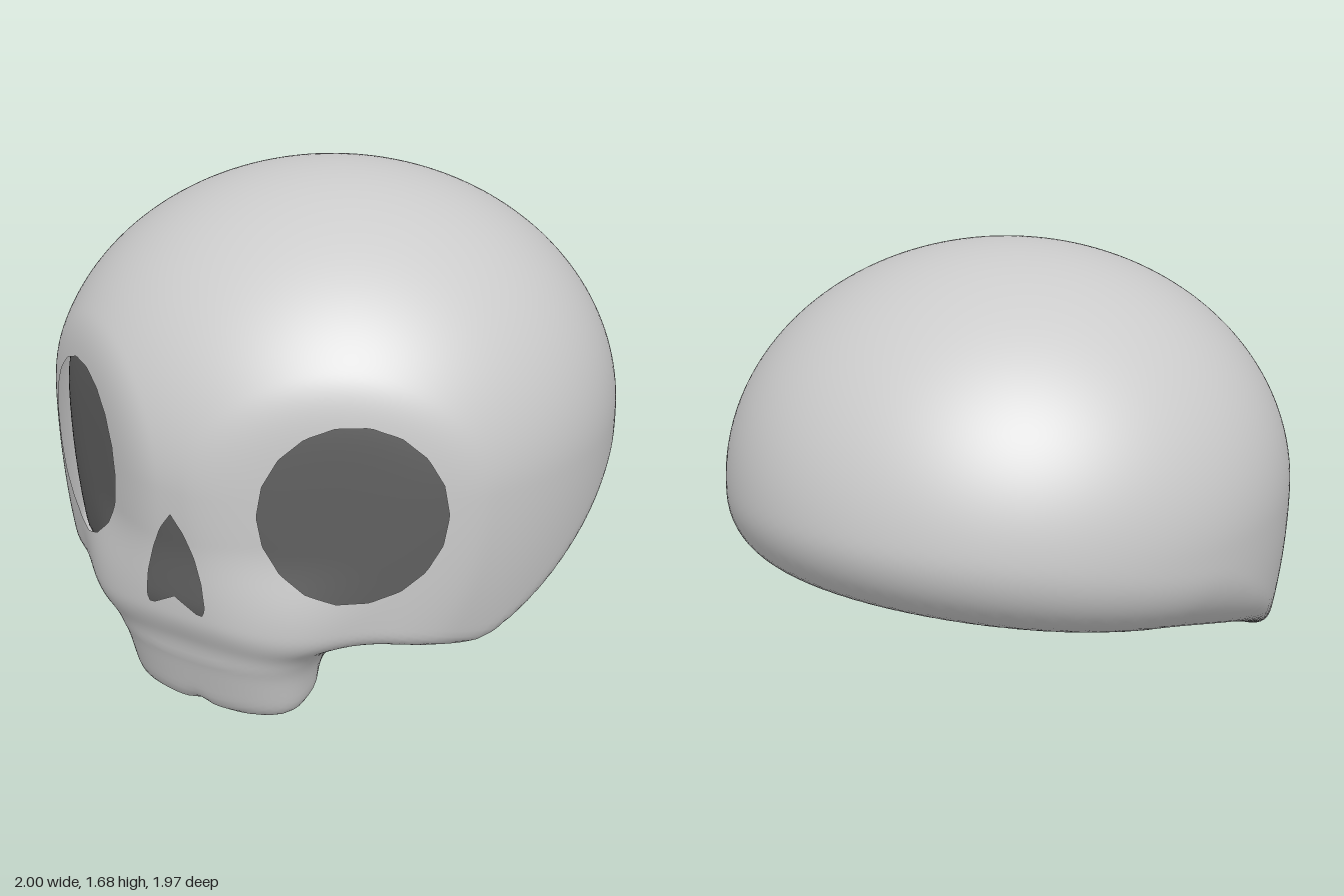
import * as THREE from 'three';
import { mergeVertices } from 'three/addons/utils/BufferGeometryUtils.js';

const V = (x, y, z) => new THREE.Vector3(x, y, z);
const boneMaterial = new THREE.MeshStandardMaterial({ color: 0xcccccc, side: THREE.DoubleSide });
const hollowMaterial = new THREE.MeshStandardMaterial({ color: 0x606060 });

// Rounded union and intersection of two solids
function smin(a, b, k) {
  const h = Math.max(k - Math.abs(a - b), 0) / k;
  return Math.min(a, b) - h * h * k / 4;
}
const smax = (a, b, k) => -smin(-a, -b, k);

// Bone solid: negative inside, positive outside
function bone(p) {
  const x = Math.abs(p.x), { y, z } = p;

  // domed cranium, straighter below the temples
  const high = y > 0.85 ? 0.83 : 1.55;
  let skull = (Math.hypot(x, (y - 0.85) / high, z / 0.985) - 1) * 0.85;
  // flattened planes that carry the eyes
  skull = smax(skull, 0.53 * x + 0.85 * z - 0.922, 0.06);
  // underside: bowl at the back, dipping to the cheeks, rising to the face
  const back = 1 - THREE.MathUtils.smoothstep(z, -0.35, 0.4);
  const bowl = 0.4 - 0.15 * z + (0.17 * z * z + 0.11 * x * x) * back - 0.45 * Math.max(0, z) ** 2;
  const under = smax(bowl, 0.262 + 0.2 * (z - 0.38), 0.03);
  skull = smax(skull, (under - y) * 0.95, 0.05 + 0.15 * back);

  // upper jaw: tapered block with a small notch in the middle of its lower edge
  const front = Math.min(0.86 + 0.27 * y, 0.92), rear = 0.52;
  const halfX = 0.335 + 0.15 * Math.max(0, y - 0.05), halfZ = (front - rear) / 2;
  const plan = Math.pow(x / halfX, 2.5) + Math.pow(Math.abs(z - rear - halfZ) / halfZ, 2.5);
  let jaw = (Math.pow(plan, 1 / 2.5) - 1) * 0.28;
  const floor = 1.3 * Math.max(0, 0.82 - z) ** 2 + 0.02 * Math.exp(-((x / 0.04) ** 2));
  jaw = smax(jaw, floor - y, 0.07);
  jaw = smax(jaw, y - 0.5, 0.2);
  return smin(skull, jaw, 0.19);
}

// Walk outward from a point inside until the surface (or a level below it) is met
function surfacePoint(from, dir, inset = 0) {
  const p = V();
  const at = (t) => bone(p.copy(from).addScaledVector(dir, t)) + inset;
  let hi = 0;
  while (at(hi) < 0 && hi < 3) hi += 0.02;
  let lo = Math.max(0, hi - 0.02);
  for (let i = 0; i < 14; i++) {
    const mid = (lo + hi) / 2;
    if (at(mid) < 0) lo = mid; else hi = mid;
  }
  at(hi);
  return p;
}

// An opening: outline around a centre, in a plane facing the normal
function opening(centre, normal, outline) {
  const n = normal.normalize();
  return { centre, n, t: V(n.z, 0, -n.x), outline };
}

// 1 on the outline, below 1 inside it
function gauge(o, u, v) {
  const pts = o.outline;
  for (let i = 0; i < pts.length; i++) {
    const [ax, ay] = pts[i], [bx, by] = pts[(i + 1) % pts.length];
    if (ax * v - ay * u >= 0 && u * by - v * bx >= 0) {
      const ex = bx - ax, ey = by - ay;
      return (u * ey - v * ex) / (ax * ey - ay * ex);
    }
  }
  return 2;
}

function rimPoint(o, u, v) {
  const start = o.centre.clone().addScaledVector(o.t, u).addScaledVector(o.n, -0.25);
  start.y += v;
  return surfacePoint(start, o.n);
}

// A sphere pushed onto the solid, with the openings cut cleanly
function buildShell(openings, detail, inset) {
  let ball = new THREE.IcosahedronGeometry(1, detail);
  ball.deleteAttribute('uv');
  ball.deleteAttribute('normal');
  ball = mergeVertices(ball);
  const pos = ball.attributes.position, heart = V(0, 0.75, 0.46);
  const cuts = [];
  for (let i = 0; i < pos.count; i++) {
    const p = surfacePoint(heart, V().fromBufferAttribute(pos, i).normalize(), inset);
    pos.setXYZ(i, p.x, p.y, p.z);
    for (const o of openings) {
      const d = p.clone().sub(o.centre);
      if (d.dot(o.n) < -0.25) continue;
      const u = d.dot(o.t), v = d.y, s = gauge(o, u, v);
      if (s < 1) cuts[i] = { o, u: u / Math.max(s, 1e-4), v: v / Math.max(s, 1e-4) };
    }
  }
  // keep faces reaching outside an opening, and pull their inner corners to its rim
  const old = ball.index.array, index = [], moved = new Set();
  for (let i = 0; i < old.length; i += 3) {
    const tri = [old[i], old[i + 1], old[i + 2]];
    if (tri.every((k) => cuts[k])) continue;
    index.push(...tri);
    tri.forEach((k) => cuts[k] && moved.add(k));
  }
  for (const k of moved) {
    const p = rimPoint(cuts[k].o, cuts[k].u, cuts[k].v);
    pos.setXYZ(k, p.x, p.y, p.z);
  }
  ball.setIndex(index);
  ball.computeVertexNormals();
  return ball;
}

export function createModel() {
  const group = new THREE.Group();
  group.name = 'skull';

  const round = Array.from({ length: 18 }, (_, i) => {
    const a = (i / 18) * Math.PI * 2;
    return [0.303 * Math.cos(a), 0.305 * Math.sin(a)];
  });
  // pointed nose outline, right half mirrored to the left
  const half = [[0.055, -0.115], [0.1, -0.14], [0.115, -0.11], [0.105, -0.02], [0.08, 0.07], [0.045, 0.15]];
  const nose = [[0, -0.085], ...half, [0, 0.21], ...half.map(([x, y]) => [-x, y]).reverse()];

  const eyes = [1, -1].map((s) => opening(V(s * 0.537, 0.8, 0.75), V(s * 0.53, 0, 0.85), round));
  const noseHole = opening(V(0, 0.56, 0.95), V(0, 0, 1), nose);

  const add = (name, geometry, material) => {
    const mesh = new THREE.Mesh(geometry, material);
    mesh.name = name;
    group.add(mesh);
  };
  add('craniumAndJaw', buildShell([...eyes, noseHole], 42, 0), boneMaterial);
  // dark inner shell that shows through the eyes and the nose
  add('innerShell', buildShell([], 30, 0.04), hollowMaterial);
  return group;
}
